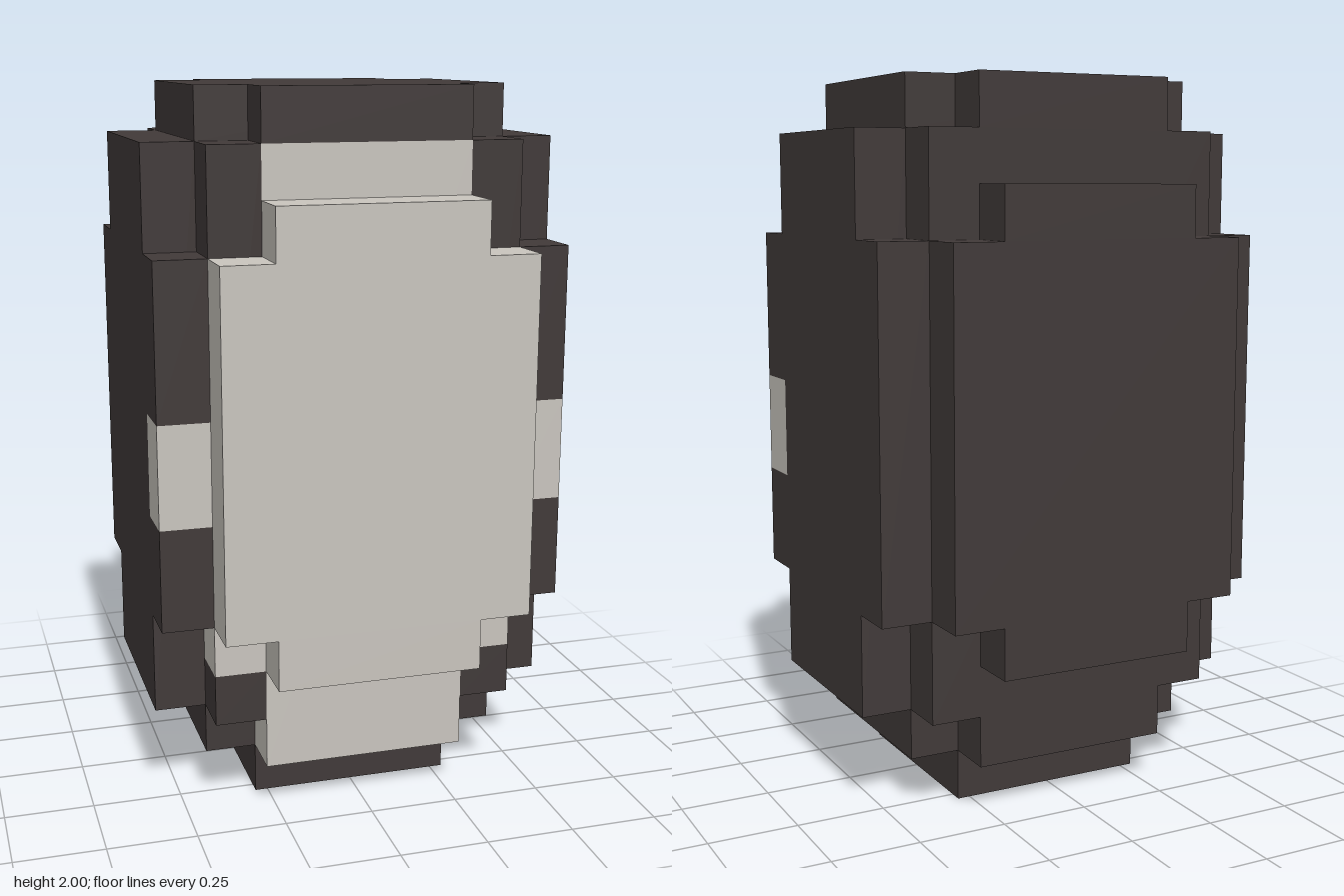
import * as THREE from 'three';

// Everything sits on a grid of 14 cells over the height of 2
const U = 1 / 7;

export function createModel() {
  const group = new THREE.Group();
  const dark = new THREE.MeshStandardMaterial({ color: 0x413a39 });
  dark.name = 'dark charcoal';
  const light = new THREE.MeshStandardMaterial({ color: 0xc9c5be });
  light.name = 'pale grey';

  // Box spanning the given cell ranges
  function block(name, mat, [x0, x1], [y0, y1], [z0, z1]) {
    const geo = new THREE.BoxGeometry((x1 - x0) * U, (y1 - y0) * U, (z1 - z0) * U);
    const mesh = new THREE.Mesh(geo, mat);
    mesh.name = name;
    mesh.position.set((x0 + x1) / 2 * U, (y0 + y1) / 2 * U, (z0 + z1) / 2 * U);
    group.add(mesh);
  }

  // Body core and the pale chest layer in front of it
  block('core', dark, [-3, 3], [2, 13], [-3, 2]);
  block('chest', light, [-2, 2], [1, 13], [2, 3]);

  // Stepped top and bottom
  block('crown', dark, [-3, 3], [13, 14], [-2, 2]);
  block('crownDepth', dark, [-2, 2], [13, 14], [-3, 3]);
  block('lowerStep', dark, [-3, 3], [1, 2], [-2, 2]);
  block('lowerStepBack', dark, [-2, 2], [1, 2], [-3, -2]);
  block('base', dark, [-2, 2], [0, 1], [-2, 2]);

  // Raised belly and back panels with notched corners
  for (const [name, mat, z] of [['belly', light, [3, 4]], ['back', dark, [-4, -3]]]) {
    block(name + 'Panel', mat, [-3, 3], [4, 11], z);
    block(name + 'PanelTop', mat, [-2, 2], [11, 12], z);
    block(name + 'PanelBottom', mat, [-2, 2], [3, 4], z);
  }

  for (const side of [-1, 1]) {
    const label = side > 0 ? 'left' : 'right';
    const span = (a, b) => (side > 0 ? [a, b] : [-b, -a]);

    // Front corner columns
    block(label + 'CornerUpper', dark, span(2, 3), [4, 13], [2, 3]);
    block(label + 'CornerSpot', light, span(2, 3), [3, 4], [2, 3]);
    block(label + 'CornerLower', dark, span(2, 3), [2, 3], [2, 3]);

    // Side panels, with a pale patch on the front edge
    block(label + 'SidePanel', dark, span(3, 4), [2, 13], [-2, 2]);
    block(label + 'SideRear', dark, span(3, 4), [4, 11], [-3, -2]);
    block(label + 'SideFrontLower', dark, span(3, 4), [4, 6], [2, 3]);
    block(label + 'SidePatch', light, span(3, 4), [6, 8], [2, 3]);
    block(label + 'SideFrontUpper', dark, span(3, 4), [8, 11], [2, 3]);
  }
  return group;
}
